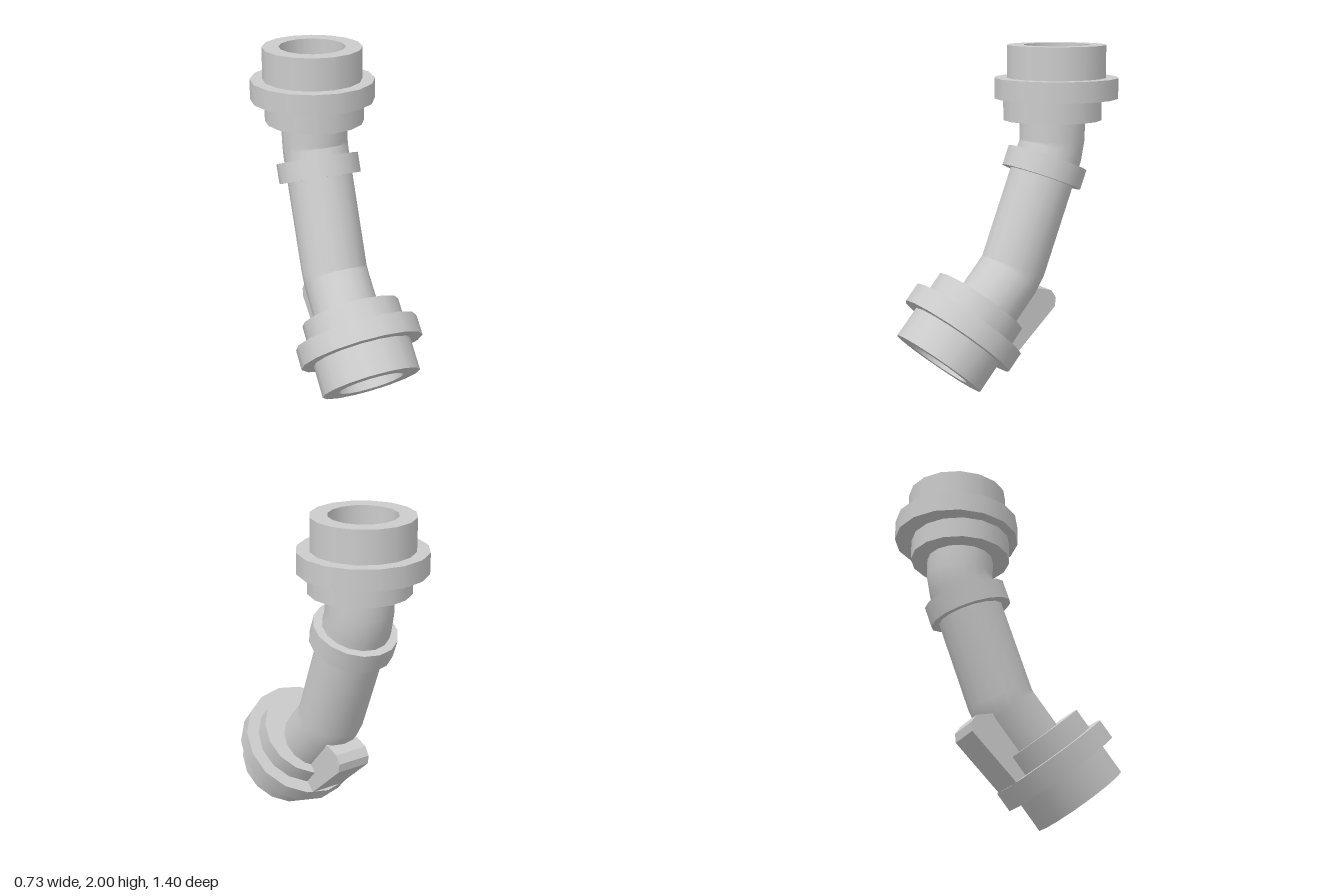
import * as THREE from 'three';
import { mergeGeometries, mergeVertices } from 'three/addons/utils/BufferGeometryUtils.js';

const SIDES = 16;
const BORE = 0.195;   // bore and tube radius
const BODY = 0.293;   // socket radius
const material = new THREE.MeshStandardMaterial({ color: 0xcccccc });
const rad = THREE.MathUtils.degToRad;

function mesh(name, geometry) {
  const m = new THREE.Mesh(geometry, material);
  m.name = name;
  return m;
}

// Lathe each profile edge on its own so corners stay sharp
function sharpLathe(profile) {
  const parts = [];
  for (let i = 0; i < profile.length - 1; i++) {
    const edge = [profile[i], profile[i + 1]].map(([r, y]) => new THREE.Vector2(r, y));
    parts.push(new THREE.LatheGeometry(edge, SIDES));
  }
  return mergeGeometries(parts);
}

// Blind-bored socket with a flange; opening at local y = 0, neck towards +y
function socket(name, neckShift) {
  const group = new THREE.Group();
  group.name = name;
  group.add(mesh(name + 'Flange', sharpLathe([
    [0, 0.19], [BORE, 0.19], [BORE, 0], [BODY, 0], [BODY, 0.19],
    [0.367, 0.19], [0.367, 0.31], [0, 0.31],
  ])));
  const neck = mesh(name + 'Neck', new THREE.CylinderGeometry(BODY, BODY, 0.125, SIDES));
  neck.position.set(0, 0.3725, neckShift);
  group.add(neck);
  return group;
}

// Bent tube: rows of a cylinder moved onto tilted sections [y, z, tilt in degrees]
function bentTube(sections) {
  const g = new THREE.CylinderGeometry(1, 1, 1, SIDES, sections.length - 1, true);
  const p = g.attributes.position;
  for (let i = 0; i < p.count; i++) {
    const [y, z, tilt] = sections[Math.floor(i / (SIDES + 1))];
    const depth = p.getZ(i) * BORE;
    p.setXYZ(i, p.getX(i) * BORE, y + depth * Math.sin(rad(tilt)), z + depth * Math.cos(rad(tilt)));
  }
  g.deleteAttribute('uv');
  g.deleteAttribute('normal');
  const welded = mergeVertices(g, 1e-4);
  welded.computeVertexNormals();
  return welded;
}

export function createModel() {
  const model = new THREE.Group();
  model.name = 'bentArm';

  // Upper socket, opening upwards
  const upper = socket('upperSocket', -0.027);
  upper.rotation.x = Math.PI;
  upper.position.set(0, 2, -0.332);
  model.add(upper);

  // Lower socket, opening down and forwards
  const lower = socket('lowerSocket', 0);
  lower.rotation.x = rad(-41);
  lower.position.set(0, 0.195, 0.48);
  model.add(lower);

  // Tube with two bends, each hinged about its front edge
  model.add(mesh('tube', bentTube([
    [1.6, -0.305, 0], [1.45, -0.305, 0], [1.377, -0.29, 22],
    [0.714, -0.031, 22], [0.659, 0.003, 41], [0.433, 0.2, 41],
  ])));

  // Ring around the tube
  const ring = mesh('ring', new THREE.CylinderGeometry(0.245, 0.245, 0.119, SIDES));
  ring.rotation.x = rad(-21.5);
  ring.position.set(0, 1.281, -0.25);
  model.add(ring);

  // Rounded lug behind the lower socket, outline in (-z, y) extruded across x
  const outline = [
    [-0.167, 0.338], [-0.013, 0.2], [0.262, 0.454], [0.268, 0.507],
    [0.236, 0.555], [0.16, 0.576], [0.02, 0.6],
  ].map(([x, y]) => new THREE.Vector2(x, y));
  const lugGeometry = new THREE.ExtrudeGeometry(new THREE.Shape(outline), { depth: 0.21, bevelEnabled: false });
  lugGeometry.translate(0, 0, -0.105);
  lugGeometry.rotateY(Math.PI / 2);
  model.add(mesh('lug', lugGeometry));

  return model;
}
